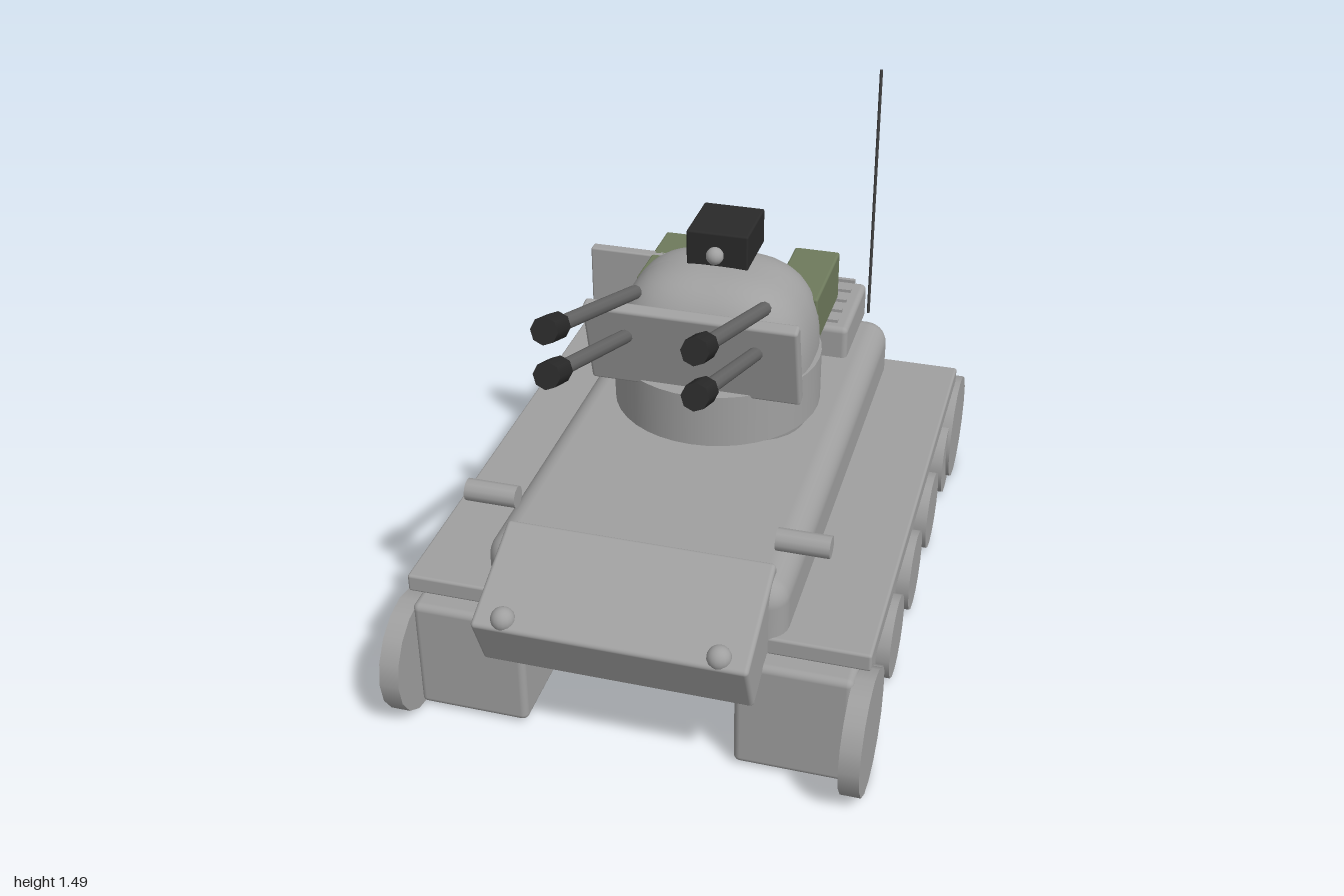
import * as THREE from 'three';
import { RoundedBoxGeometry } from 'three/addons/geometries/RoundedBoxGeometry.js';

function material(name, color) {
  const m = new THREE.MeshStandardMaterial({ color });
  m.name = name;
  return m;
}

export function createModel() {
  const grey = material('armour grey', 0xa0a0a0);
  const gunmetal = material('gunmetal', 0x686868);
  const black = material('black', 0x2a2a2a);
  const green = material('olive green', 0x6e7a5c);
  const antennaGrey = material('antenna grey', 0x444444);

  const model = new THREE.Group();
  model.name = 'antiAircraftTank';

  function add(name, geometry, mat, x, y, z) {
    const mesh = new THREE.Mesh(geometry, mat);
    mesh.name = name;
    mesh.position.set(x, y, z);
    model.add(mesh);
    return mesh;
  }
  // Rounded box given by its extents on each axis
  function block(name, mat, [x0, x1], [y0, y1], [z0, z1], r) {
    const g = new RoundedBoxGeometry(x1 - x0, y1 - y0, z1 - z0, 4, r);
    return add(name, g, mat, (x0 + x1) / 2, (y0 + y1) / 2, (z0 + z1) / 2);
  }
  // Cylinder lying along x
  function axle(name, mat, r, length, sides, x, y, z) {
    const g = new THREE.CylinderGeometry(r, r, length, sides).rotateZ(Math.PI / 2);
    return add(name, g, mat, x, y, z);
  }

  // Hull and sloping nose
  block('hull', grey, [-0.43, 0.43], [0.25, 0.59], [-0.805, 0.775], 0.07);
  const nose = add('nosePlate', new RoundedBoxGeometry(0.77, 0.19, 0.34, 3, 0.012), grey, 0, 0.462, 0.802);
  nose.rotation.x = 0.41;

  // Engine deck with ribs
  block('engineDeck', grey, [-0.34, 0.34], [0.572, 0.697], [-0.828, -0.488], 0.018);
  for (let i = 0; i < 5; i++) {
    add('engineRib', new THREE.BoxGeometry(0.6, 0.014, 0.014), grey, 0, 0.7, -0.532 - i * 0.0725);
  }

  // Running gear, fenders and lamps on both sides
  for (const s of [-1, 1]) {
    const span = (a, b) => (s > 0 ? [a, b] : [-b, -a]);
    block('trackBody', grey, span(0.305, 0.635), [0.015, 0.372], [-0.868, 0.832], 0.02);
    block('fender', grey, span(0.3, 0.67), [0.37, 0.425], [-0.81, 0.77], 0.008);
    for (const z of [0.795, -0.82]) {
      axle('endWheel', grey, 0.178, 0.058, 16, s * 0.657, 0.184, z);
    }
    for (let i = 0; i < 5; i++) {
      axle('roadWheel', grey, 0.126, 0.05, 16, s * 0.65, 0.145, 0.66 - i * 0.335);
    }
    axle('sideLamp', grey, 0.032, 0.15, 12, s * 0.448, 0.656, 0.63);
    add('headlight', new THREE.SphereGeometry(0.034, 16, 12), grey, s * 0.3, 0.495, 0.962);
    block('stowageBox', green, span(0.143, 0.29), [0.768, 0.932], [-0.57, -0.23], 0.008);
  }

  // Turret ring
  add('turretRing', new THREE.CylinderGeometry(0.32, 0.32, 0.168, 40), grey, 0, 0.698, -0.142);

  // Turret dome: sphere squared off into a superellipsoid
  const dome = new THREE.SphereGeometry(1, 48, 32);
  const p = dome.attributes.position;
  const power = 3;
  for (let i = 0; i < p.count; i++) {
    const [x, y, z] = [p.getX(i), p.getY(i), p.getZ(i)];
    const k = (Math.abs(x) ** power + Math.abs(y) ** power + Math.abs(z) ** power) ** (-1 / power);
    p.setXYZ(i, x * k * 0.305, y * k * 0.33, z * k * 0.245);
  }
  dome.computeVertexNormals();
  add('turretDome', dome, grey, 0, 0.732, -0.148);

  // Gun shield, leaning forward
  const shield = add('gunShield', new RoundedBoxGeometry(0.64, 0.288, 0.044, 3, 0.01), grey, 0, 0.911, 0.14);
  shield.rotation.x = 0.26;

  // Sight box with its lens ball
  block('sightBox', black, [-0.095, 0.095], [1.055, 1.168], [-0.332, -0.122], 0.006);
  add('sightBall', new THREE.SphereGeometry(0.027, 16, 12), grey, 0, 1.107, -0.098);

  // Plate standing out from the right of the turret
  block('sidePlate', grey, [-0.492, -0.11], [0.72, 0.932], [-0.425, -0.387], 0.006);

  // Four raised barrels with muzzle brakes
  const tilt = Math.PI / 2 - 0.345;
  for (const x of [-0.195, 0.195]) {
    for (const y of [0.917, 1.047]) {
      const gun = new THREE.Group();
      gun.name = 'gun';
      gun.position.set(x, y, 0.075);
      gun.rotation.x = tilt;
      const barrel = new THREE.Mesh(new THREE.CylinderGeometry(0.021, 0.021, 0.73, 10), gunmetal);
      barrel.name = 'barrel';
      barrel.position.y = 0.365;
      const muzzle = new THREE.Mesh(new THREE.CylinderGeometry(0.037, 0.037, 0.1, 8), black);
      muzzle.name = 'muzzle';
      muzzle.position.y = 0.735;
      gun.add(barrel, muzzle);
      model.add(gun);
    }
  }

  // Whip antenna
  add('antenna', new THREE.CylinderGeometry(0.005, 0.005, 0.86, 8), antennaGrey, 0.364, 1.062, -0.742);

  return model;
}
